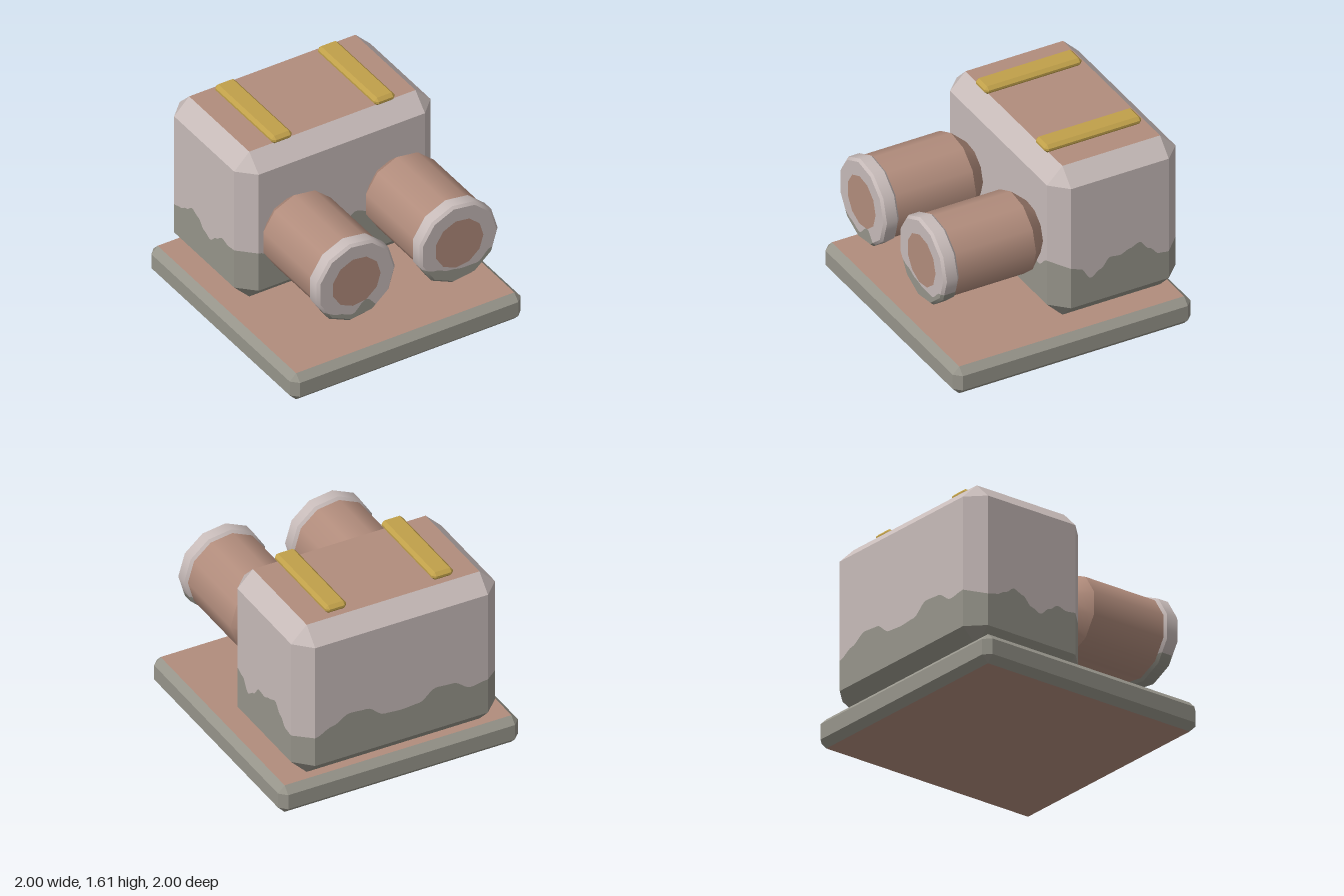
import * as THREE from 'three';
import { ConvexGeometry } from 'three/addons/geometries/ConvexGeometry.js';
import { mergeGeometries } from 'three/addons/utils/BufferGeometryUtils.js';

const material = (name, color) => new THREE.MeshStandardMaterial({ name, color });

// Flat-shaded or supplied-normal geometry from a flat list of triangle corners
function fromTriangles(pos, normals) {
  const g = new THREE.BufferGeometry();
  g.setAttribute('position', new THREE.Float32BufferAttribute(pos, 3));
  if (normals) g.setAttribute('normal', new THREE.Float32BufferAttribute(normals, 3));
  else g.computeVertexNormals();
  return g;
}

// Box with every edge and corner cut by c
function cutBox(w, h, d, c) {
  const points = [];
  for (const x of [-1, 1]) for (const y of [-1, 1]) for (const z of [-1, 1]) {
    for (const [a, b, e] of [[0, c, c], [c, 0, c], [c, c, 0]]) {
      points.push(new THREE.Vector3(x * (w / 2 - a), y * (h / 2 - b), z * (d / 2 - e)));
    }
  }
  return new ConvexGeometry(points);
}

// Keep the triangles whose upward normal lies in a range
function facesByUp(geo, min, max) {
  const p = geo.attributes.position, n = geo.attributes.normal, pos = [];
  for (let i = 0; i < p.count; i += 3) {
    const up = n.getY(i);
    if (up < min || up > max) continue;
    for (let k = i; k < i + 3; k++) pos.push(p.getX(k), p.getY(k), p.getZ(k));
  }
  return fromTriangles(pos);
}

// Height of the stain edge along a wall, t from 0 to 1
function waveAt(heights, t) {
  const s = THREE.MathUtils.clamp(t, 0, 1) * (heights.length - 1);
  const i = Math.min(Math.floor(s), heights.length - 2);
  return THREE.MathUtils.lerp(heights[i], heights[i + 1], THREE.MathUtils.smoothstep(s - i, 0, 1));
}
const FRONT = [0.70, 0.65, 0.61, 0.70, 0.60, 0.65, 0.67, 0.76, 0.72, 0.68, 0.66, 0.66, 0.75];
const RIGHT = [0.71, 0.68, 0.58, 0.63, 0.71, 0.70, 0.73, 0.76, 0.68, 0.61, 0.60];
const BACK = [0.61, 0.67, 0.74, 0.73, 0.64, 0.63, 0.64, 0.73, 0.72, 0.64, 0.66];
const LEFT = [0.62, 0.64, 0.68, 0.73, 0.70, 0.63, 0.60, 0.66, 0.71, 0.69, 0.70];

// Split a geometry into the parts above and below the front stain edge
function splitByStain(geo) {
  const g = geo.index ? geo.toNonIndexed() : geo;
  const p = g.attributes.position, n = g.attributes.normal;
  const out = [{ pos: [], nor: [] }, { pos: [], nor: [] }];
  const mix = (a, b, t) => a.map((v, i) => v + (b[i] - v) * t);
  const height = (v) => v[1] - waveAt(FRONT, (v[0] + 0.72) / 1.44);
  const cut = (tri, depth) => {
    if (depth > 0) {
      const [a, b, c] = tri;
      const ab = mix(a, b, 0.5), bc = mix(b, c, 0.5), ca = mix(c, a, 0.5);
      for (const t of [[a, ab, ca], [ab, b, bc], [ca, bc, c], [ab, bc, ca]]) cut(t, depth - 1);
      return;
    }
    out.forEach((side, s) => {
      const sign = s ? -1 : 1, poly = [];
      tri.forEach((a, i) => {
        const b = tri[(i + 1) % 3], da = height(a) * sign, db = height(b) * sign;
        if (da >= 0) poly.push(a);
        if (da * db < 0) poly.push(mix(a, b, da / (da - db)));
      });
      for (let i = 1; i + 1 < poly.length; i++) {
        for (const v of [poly[0], poly[i], poly[i + 1]]) {
          side.pos.push(...v.slice(0, 3));
          side.nor.push(...v.slice(3));
        }
      }
    });
  };
  for (let i = 0; i < p.count; i += 3) {
    cut([i, i + 1, i + 2].map((k) =>
      [p.getX(k), p.getY(k), p.getZ(k), n.getX(k), n.getY(k), n.getZ(k)]), 3);
  }
  return out.map((s) => fromTriangles(s.pos, s.nor));
}

// Walls between the stain edge and a level height, around the eight-sided body
function bodyWalls(low, high) {
  const path = [];
  const sides = [
    [FRONT, -0.72, 0.08, 0.72, 0.08], [RIGHT, 0.85, -0.05, 0.85, -0.87],
    [BACK, 0.72, -1, -0.72, -1], [LEFT, -0.85, -0.87, -0.85, -0.05],
  ];
  for (const [heights, x0, z0, x1, z1] of sides) {
    for (let i = 0; i <= 60; i++) {
      const t = i / 60;
      path.push([x0 + (x1 - x0) * t, z0 + (z1 - z0) * t, waveAt(heights, t)]);
    }
  }
  const pos = [];
  path.forEach((a, i) => {
    const b = path[(i + 1) % path.length];
    const a0 = [a[0], low ?? a[2], a[1]], a1 = [a[0], high ?? a[2], a[1]];
    const b0 = [b[0], low ?? b[2], b[1]], b1 = [b[0], high ?? b[2], b[1]];
    pos.push(...a0, ...b0, ...b1, ...a0, ...b1, ...a1);
  });
  return fromTriangles(pos);
}

// Eleven-sided tube section along z
function section(z0, r0, z1, r1) {
  return new THREE.CylinderGeometry(r1, r0, z1 - z0, 11, 1, true, Math.PI / 2)
    .rotateX(Math.PI / 2).translate(0, 0, (z0 + z1) / 2);
}

export function createModel() {
  const pale = material('paleStone', 0xc6bab8);
  const grey = material('stainGrey', 0x96948a);
  const brown = material('clayBrown', 0xb18c7c);
  const gold = material('gold', 0xc0a04a);

  const model = new THREE.Group();
  const group = (name) => {
    const g = new THREE.Group();
    g.name = name;
    model.add(g);
    return g;
  };
  const add = (parent, name, geo, mat) => {
    const mesh = new THREE.Mesh(geo, mat);
    mesh.name = name;
    parent.add(mesh);
  };

  // Base slab: grey rim, brown top and bottom
  const base = group('base');
  const slab = cutBox(2, 0.235, 2, 0.055).translate(0, 0.1175, 0);
  add(base, 'baseRim', facesByUp(slab, -0.99, 0.99), grey);
  add(base, 'baseTop', facesByUp(slab, 0.99, 2), brown);
  add(base, 'baseBottom', facesByUp(slab, -2, -0.99), brown);

  // Body block with a stained lower half
  const body = group('body');
  const block = cutBox(1.7, 1.305, 1.08, 0.13).translate(0, 0.8875, -0.46);
  add(body, 'bodyTop', facesByUp(block, 0.99, 2), brown);
  add(body, 'bodyUpperBevel', facesByUp(block, 0.1, 0.99), pale);
  add(body, 'bodyLowerBevel', facesByUp(block, -0.99, -0.1), grey);
  add(body, 'bodyBottom', facesByUp(block, -2, -0.99), brown);
  add(body, 'bodyUpperWalls', bodyWalls(null, 1.41), pale);
  add(body, 'bodyLowerWalls', bodyWalls(0.365, null), grey);

  for (const x of [-0.445, 0.445]) {
    const side = x < 0 ? 'right' : 'left';

    // Barrel with a tapered root and a stained end collar
    const barrel = group(side + 'Barrel');
    const tube = mergeGeometries([section(0.06, 0.197, 0.2, 0.325), section(0.2, 0.325, 0.86, 0.325)]);
    add(barrel, 'barrelTube', tube.translate(x, 0.89, 0), brown);
    const collar = mergeGeometries([
      section(0.85, 0.325, 0.87, 0.345), section(0.87, 0.345, 0.96, 0.345),
      section(0.96, 0.345, 0.98, 0.325),
      new THREE.RingGeometry(0.21, 0.325, 11, 1).translate(0, 0, 0.98),
    ]).translate(x, 0.89, 0);
    const [clean, stained] = splitByStain(collar);
    add(barrel, 'collar', clean, pale);
    add(barrel, 'collarStain', stained, grey);
    add(barrel, 'barrelEnd', new THREE.CircleGeometry(0.21, 11).translate(x, 0.89, 0.98), brown);

    // Gold bar on the roof
    add(model, side + 'RoofBar', cutBox(0.175, 0.067, 0.815, 0.025).translate(x, 1.5715, -0.425), gold);
  }
  return model;
}
